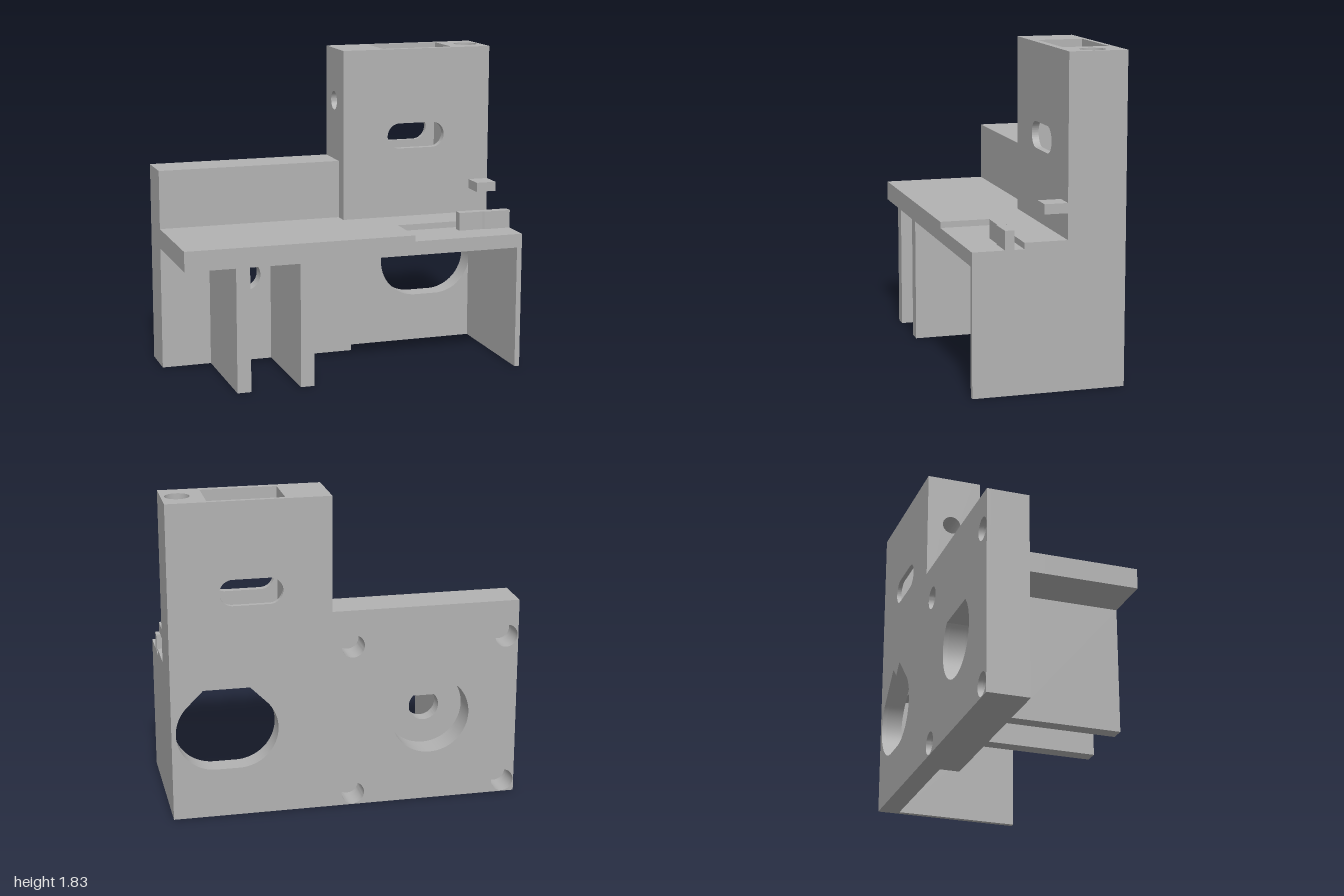
import * as THREE from 'three';
import { toCreasedNormals } from 'three/addons/utils/BufferGeometryUtils.js';

const BACK = -0.427, FRONT = 0.427;
const TOP = 1.83, RAIL = 1.17, SHELF = 0.83, UNDER = 0.715; // heights
const POCKET = 1.1;                                          // tower pocket floor
const TOWER = 0.085;                                         // tower left edge

const poly = (pts) => new THREE.Shape(pts.map(([x, y]) => new THREE.Vector2(x, y)));
const rect = (x0, y0, x1, y1) => poly([[x0, y0], [x1, y0], [x1, y1], [x0, y1]]);

function circle(x, y, r) {
  const p = new THREE.Path();
  p.absarc(x, y, r, 0, Math.PI * 2, false);
  return p;
}

// Teardrop opening; two centres give a wide one with a notched peak
function teardrop(x1, x2, y, r) {
  const p = new THREE.Path();
  const peak = y + r * Math.SQRT2;
  p.moveTo(x1, peak);
  if (x2 > x1) {
    p.lineTo((x1 + x2) / 2, peak - (x2 - x1) / 2);
    p.lineTo(x2, peak);
  }
  p.absarc(x2, y, r, Math.PI / 4, -Math.PI / 2, true);
  p.absarc(x1, y, r, -Math.PI / 2, -Math.PI * 1.25, true);
  p.closePath();
  return p;
}

// Rounded horizontal slot
function slot(x0, x1, y, r) {
  const p = new THREE.Path();
  p.absarc(x1 - r, y, r, -Math.PI / 2, Math.PI / 2, false);
  p.absarc(x0 + r, y, r, Math.PI / 2, Math.PI * 1.5, false);
  p.closePath();
  return p;
}

export function createModel() {
  const model = new THREE.Group();
  const grey = new THREE.MeshStandardMaterial({ color: 0xb2b2b2 });
  grey.name = 'grey plastic';

  const extrude = (shape, depth, holes = []) => {
    shape.holes.push(...holes);
    const g = new THREE.ExtrudeGeometry(shape, { depth, bevelEnabled: false, curveSegments: 20 });
    return toCreasedNormals(g, 0.5);
  };
  const add = (name, geometry) => {
    const mesh = new THREE.Mesh(geometry, grey);
    mesh.name = name;
    model.add(mesh);
  };
  // Slab drawn in the front plane, from z0 to z1
  const layer = (name, shape, z0, z1, holes) =>
    add(name, extrude(shape, z1 - z0, holes).translate(0, 0, z0));
  // Slab drawn in plan (x, z), from y0 to y1
  const plan = (name, pts, y0, y1, holes) =>
    add(name, extrude(poly(pts.map(([x, z]) => [x, -z])), y1 - y0, holes)
      .rotateX(-Math.PI / 2).translate(0, y0, 0));
  const box = (name, x0, x1, y0, y1, z0, z1) =>
    add(name, new THREE.BoxGeometry(x1 - x0, y1 - y0, z1 - z0)
      .translate((x0 + x1) / 2, (y0 + y1) / 2, (z0 + z1) / 2));

  // Openings
  const screws = () => [-0.93, -0.035].flatMap((x) => [0.07, 0.96].map((y) => circle(x, y, 0.066)));
  const wideHole = () => teardrop(0.62, 0.75, 0.51, 0.225);
  const bore = () => teardrop(-0.487, -0.487, 0.515, 0.228);
  const shaftHole = () => teardrop(-0.49, -0.49, 0.515, 0.088);
  const towerSlot = () => slot(0.36, 0.715, 1.315, 0.075);

  // Back plate, built as layers from the back forward
  const fullOutline = (top) => poly([[-1, 0], [1, 0], [1, top], [TOWER, top], [TOWER, RAIL], [-1, RAIL]]);
  const cutOutline = () => poly([[-1, 0], [0.165, 0], [0.165, UNDER], [1, UNDER],
    [1, POCKET], [TOWER, POCKET], [TOWER, RAIL], [-1, RAIL]]);
  const shelfOutline = (top) => poly([[-1, UNDER], [1, UNDER], [1, top], [TOWER, top], [TOWER, SHELF], [-1, SHELF]]);
  layer('backPlateRear', fullOutline(TOP), BACK, -0.4, [towerSlot(), wideHole(), bore(), ...screws()]);
  layer('backPlateCore', fullOutline(POCKET), -0.4, -0.303, [wideHole(), bore(), ...screws()]);
  layer('backPlateBore', cutOutline(), -0.303, -0.27, [bore(), ...screws()]);
  layer('backPlateFront', cutOutline(), -0.27, -0.187, [shaftHole()]);
  layer('towerBase', shelfOutline(POCKET), -0.187, -0.14);
  layer('towerFrontWall', shelfOutline(TOP), -0.14, -0.1, [towerSlot()]);

  // Tower cheeks on either side of the pocket
  const cheek = rect(0.14, POCKET, 0.4, TOP);
  add('towerCheekRight', extrude(cheek, 0.34 - TOWER, [circle(0.277, 1.52, 0.055)])
    .rotateY(Math.PI / 2).translate(TOWER, 0, 0));
  plan('towerCheekLeft', [[0.77, -0.4], [0.77, -0.14], [1, -0.14], [1, -0.4]], POCKET, TOP,
    [circle(0.91, 0.26, 0.069)]);

  // Shelf with a recess in its front left corner
  box('shelfLower', -1, 1, UNDER, 0.795, -0.1, FRONT);
  plan('shelfUpper', [[-1, -0.1], [-1, FRONT], [0.34, FRONT], [0.34, 0.14], [1, 0.14], [1, -0.1]], 0.795, SHELF);

  // Fins and end wall under the shelf
  for (const x of [-0.71, -0.34]) box('fin', x, x + 0.08, 0, UNDER, -0.187, FRONT);
  box('endWall', 0.97, 1, 0, UNDER, -0.303, FRONT);

  // Clip in the recess and stop tab on the tower
  plan('clip', [[0.685, 0.187], [0.685, 0.24], [0.83, 0.24], [0.84, 0.247], [1, 0.247], [1, 0.195], [0.84, 0.195], [0.83, 0.187]],
    0.795, 0.9);
  box('stopTab', 0.88, 1, 0.975, 1.03, -0.1, 0.03);

  return model;
}
